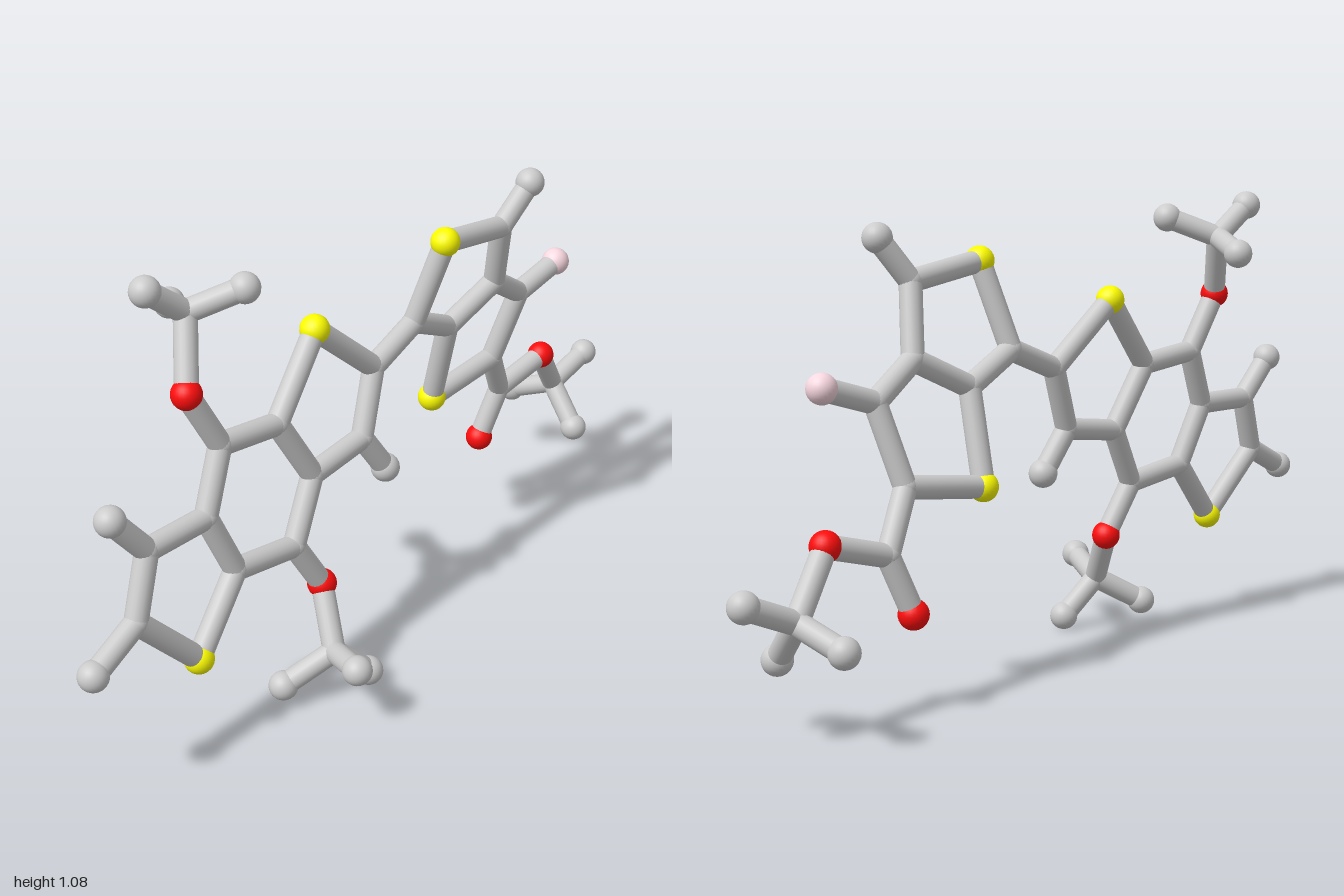
import * as THREE from 'three';

const BALL = 0.034, STICK = 0.026;

// planes in which the two flat ring systems lie
const leftPlane = (x, y) => 0.077 * x - 0.131 * y + 0.091;
const rightPlane = (x, y) => 0.077 * x + 0.272 * y - 0.207;

// atoms by element and position; z is taken from the plane when left out
const leftAtoms = {
  s1: ['S', -0.69, 0.25], c2: ['C', -0.84, 0.41], h2: ['H', -0.97, 0.35],
  c3: ['C', -0.78, 0.55], h3: ['H', -0.86, 0.65],
  b1: ['C', -0.61, 0.55], b2: ['C', -0.54, 0.69], b3: ['C', -0.37, 0.67],
  b4: ['C', -0.285, 0.515], b5: ['C', -0.37, 0.375], b6: ['C', -0.55, 0.40],
  s2: ['S', -0.22, 0.835], c5: ['C', -0.05, 0.685], c6: ['C', -0.115, 0.535], h6: ['H', -0.05, 0.435],
  oTop: ['O', -0.61, 0.83], mTop: ['C', -0.54, 0.975, -0.12],
  t1: ['H', -0.635, 1.05, -0.14], t2: ['H', -0.455, 1.022, -0.03], t3: ['H', -0.47, 0.94, -0.228],
  oLow: ['O', -0.30, 0.25], mLow: ['C', -0.355, 0.125, 0.11],
  l1: ['H', -0.425, 0.16, 0.228], l2: ['H', -0.455, 0.06, 0.042], l3: ['H', -0.27, 0.038, 0.143],
};
const rightAtoms = {
  d1: ['C', 0.10, 0.74], s3: ['S', 0.14, 0.94], d2: ['C', 0.36, 0.905], hd: ['H', 0.43, 1.0],
  d3: ['C', 0.40, 0.74], d4: ['C', 0.25, 0.67], s4: ['S', 0.27, 0.455],
  d5: ['C', 0.495, 0.48], d6: ['C', 0.53, 0.66], f: ['F', 0.665, 0.70],
  e1: ['C', 0.58, 0.35], oDouble: ['O', 0.53, 0.22, -0.092], oEster: ['O', 0.735, 0.39, -0.04],
  mEnd: ['C', 0.845, 0.255, -0.067],
  r1: ['H', 0.965, 0.305, -0.045], r2: ['H', 0.815, 0.16, 0.022], r3: ['H', 0.83, 0.21, -0.185],
};

// each chain is a run of bonded atoms
const chains = [
  'b1 b2 b3 b4 b5 b6 b1', 'b1 c3 c2 s1 b6', 'c2 h2', 'c3 h3',
  'b3 s2 c5 c6 b4', 'c6 h6', 'b2 oTop mTop t1', 'mTop t2', 'mTop t3',
  'b5 oLow mLow l1', 'mLow l2', 'mLow l3', 'c5 d1',
  'd1 s3 d2 d3 d4 d1', 'd2 hd', 'd4 s4 d5 d6 d3', 'd6 f',
  'd5 e1 oDouble', 'e1 oEster mEnd r1', 'mEnd r2', 'mEnd r3',
];

const elements = {
  C: { name: 'carbonJoint', color: 0xcccccc, r: STICK + 0.001 },
  H: { name: 'hydrogenBall', color: 0xcccccc, r: BALL },
  S: { name: 'sulfurBall', color: 0xffff00, r: BALL },
  O: { name: 'oxygenBall', color: 0xff0d0d, r: BALL },
  F: { name: 'fluorineBall', color: 0xf8d8e0, r: BALL },
};

export function createModel() {
  const model = new THREE.Group();
  model.name = 'molecule';
  const atoms = new THREE.Group(), bonds = new THREE.Group();
  atoms.name = 'atoms';
  bonds.name = 'bonds';
  model.add(atoms, bonds);

  for (const e of Object.values(elements)) {
    e.material = new THREE.MeshStandardMaterial({ color: e.color });
    e.geometry = new THREE.SphereGeometry(e.r, 24, 16);
  }

  // atom balls
  const position = {};
  const addAtoms = (table, plane) => {
    for (const [key, [type, x, y, z = plane(x, y)]] of Object.entries(table)) {
      const { geometry, material, name } = elements[type];
      const ball = new THREE.Mesh(geometry, material);
      ball.name = name;
      ball.position.set(x, y, z);
      position[key] = ball.position;
      atoms.add(ball);
    }
  };
  addAtoms(leftAtoms, leftPlane);
  addAtoms(rightAtoms, rightPlane);

  // bond sticks
  const up = new THREE.Vector3(0, 1, 0);
  const stickGeometry = new THREE.CylinderGeometry(STICK, STICK, 1, 20, 1, true);
  for (const chain of chains) {
    const keys = chain.split(' ');
    for (let i = 1; i < keys.length; i++) {
      const a = position[keys[i - 1]], b = position[keys[i]];
      const along = b.clone().sub(a);
      const stick = new THREE.Mesh(stickGeometry, elements.C.material);
      stick.name = 'bondStick';
      stick.scale.y = along.length();
      stick.position.copy(a).lerp(b, 0.5);
      stick.quaternion.setFromUnitVectors(up, along.normalize());
      bonds.add(stick);
    }
  }
  return model;
}
